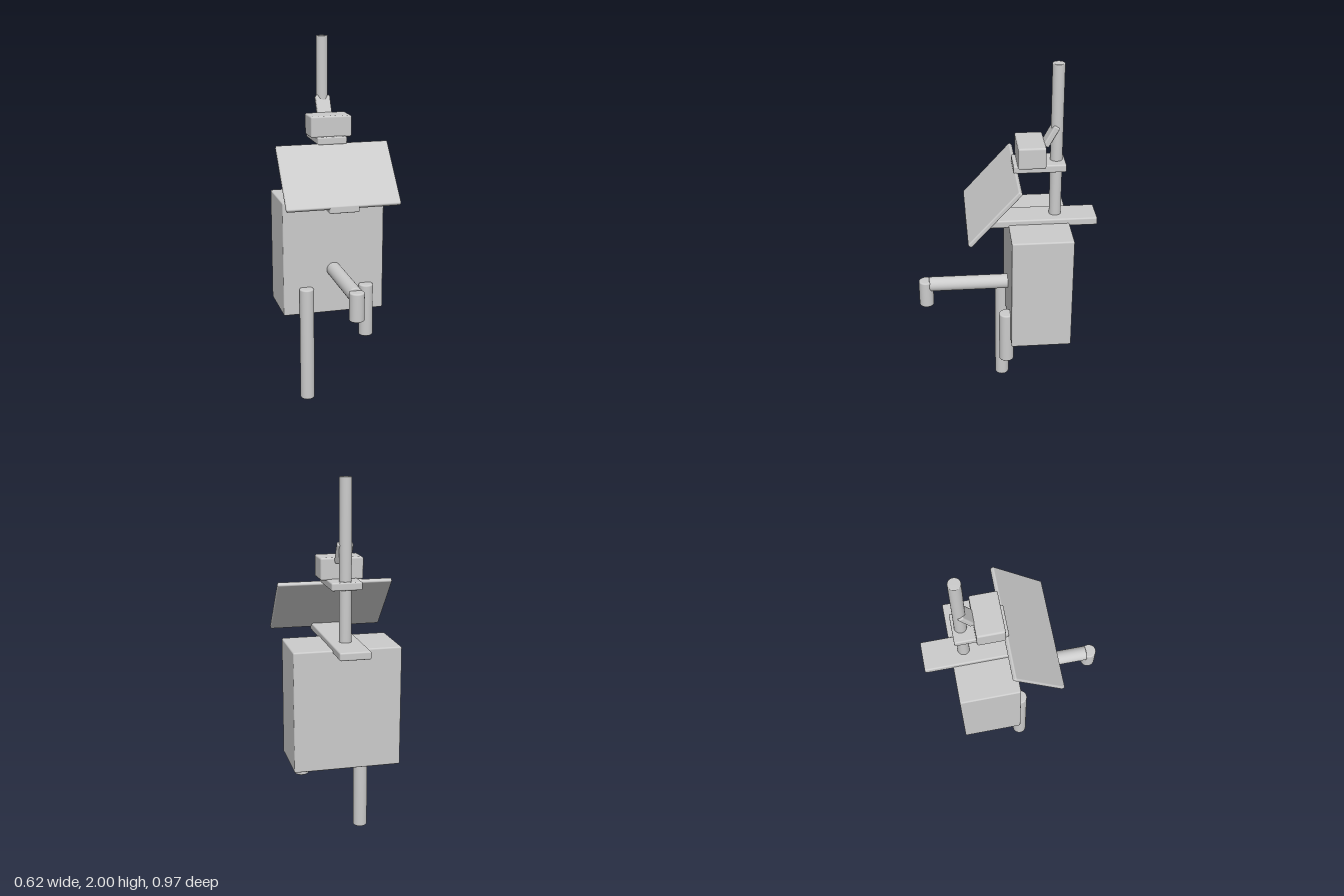
import * as THREE from 'three';
import { RoundedBoxGeometry } from 'three/addons/geometries/RoundedBoxGeometry.js';

const material = new THREE.MeshStandardMaterial({ color: 0xcccccc });

export function createModel() {
  const model = new THREE.Group();

  function add(name, geometry, x, y, z) {
    const mesh = new THREE.Mesh(geometry, material);
    mesh.name = name;
    mesh.position.set(x, y, z);
    model.add(mesh);
    return mesh;
  }

  // Box with softened edges, given by its centre and size
  function box(name, [x, y, z], [w, h, d], bevel = 0.008) {
    return add(name, new RoundedBoxGeometry(w, h, d, 3, bevel), x, y, z);
  }

  // Upright rod with softened rims, centred on its own middle
  function rod(name, [x, y, z], radius, length, bevel = 0.008) {
    const profile = [new THREE.Vector2(0, -length / 2)];
    for (const [end, start] of [[-1, -Math.PI / 2], [1, 0]]) {
      for (let i = 0; i <= 4; i++) {
        const a = start + (i / 4) * Math.PI / 2;
        profile.push(new THREE.Vector2(
          radius - bevel + bevel * Math.cos(a),
          end * (length / 2 - bevel) + bevel * Math.sin(a)));
      }
    }
    profile.push(new THREE.Vector2(0, length / 2));
    return add(name, new THREE.LatheGeometry(profile, 40), x, y, z);
  }

  // Cabinet body and the long bar across its top
  box('body', [0, 0.8175, -0.1725], [0.57, 0.645, 0.325]);
  box('topBar', [0, 1.145, -0.135], [0.162, 0.042, 0.7]);

  // Mast with its clamp plate, head block and tilted brace
  rod('mast', [0, 1.575, -0.265], 0.032, 0.85, 0.004);
  box('clampPlate', [0, 1.46, -0.1725], [0.162, 0.042, 0.275]);
  box('headBlock', [0, 1.533, -0.128], [0.226, 0.116, 0.145], 0.01);
  box('brace', [0, 1.62, -0.233], [0.082, 0.12, 0.032]).rotation.x = -0.5;

  // Sloping front panel
  box('slopingPanel', [0, 1.295, 0.0775], [0.62, 0.392, 0.025]).rotation.x =
    THREE.MathUtils.degToRad(-42);

  // Forward arm with a hanging grip
  rod('arm', [0, 0.745, 0.2], 0.04, 0.45).rotation.x = Math.PI / 2;
  rod('grip', [0, 0.693, 0.443], 0.04, 0.155);

  // One full leg and one short leg
  rod('rightLeg', [-0.16, 0.3265, 0.01], 0.04, 0.653);
  rod('leftLegStump', [0.18, 0.501, 0.01], 0.04, 0.302);

  return model;
}
